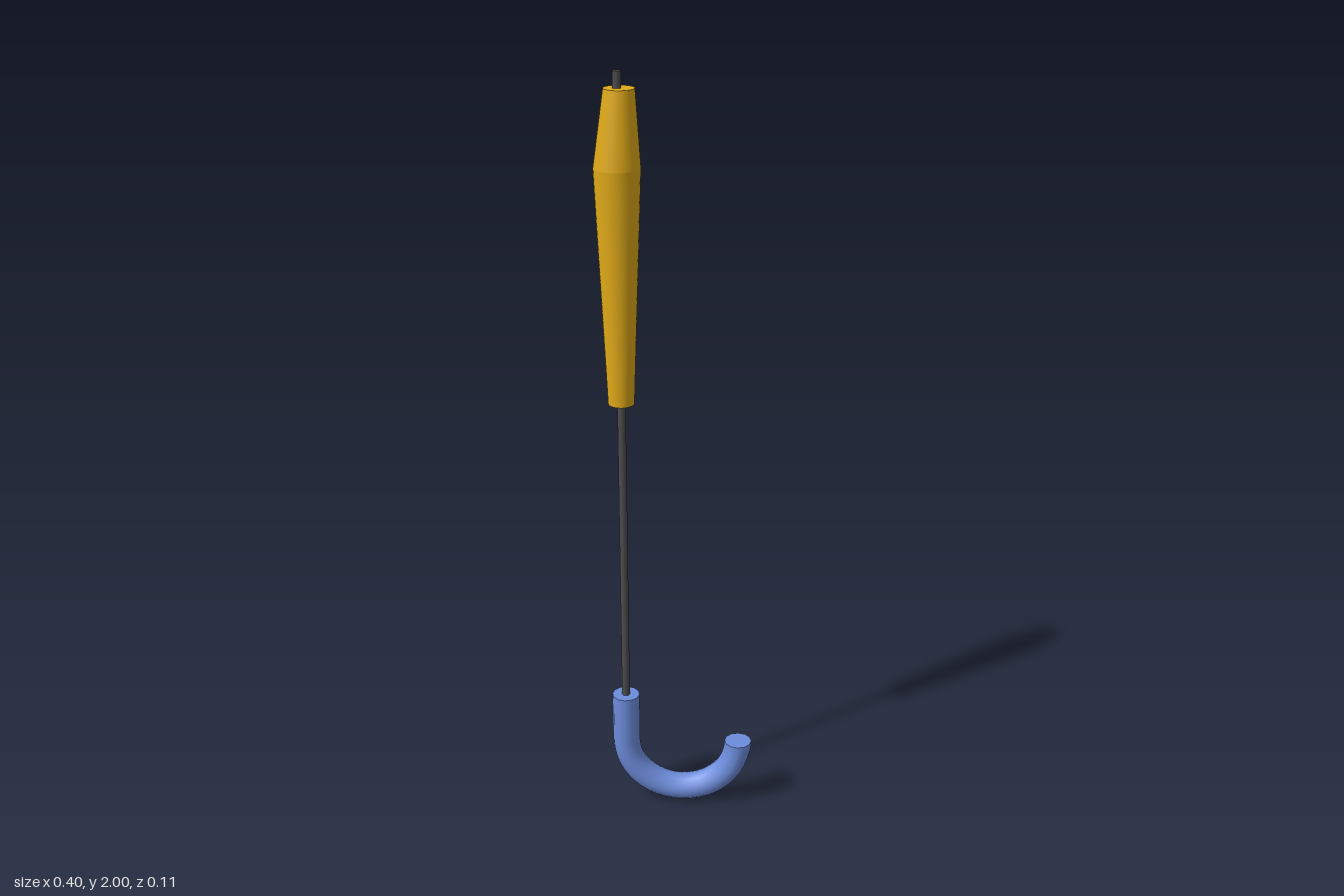
import * as THREE from 'three';

const mat = (color) => new THREE.MeshStandardMaterial({ color });

export function createModel() {
  const group = new THREE.Group();
  const gold = mat(0xe0aa18), blue = mat(0x6d8ddc), dark = mat(0x4c4c4c);
  const shaftX = -0.143, shaftZ = -0.004;

  const add = (name, geometry, material, parent = group) => {
    const mesh = new THREE.Mesh(geometry, material);
    mesh.name = name;
    parent.add(mesh);
    return mesh;
  };

  // Thin shaft running from the handle through to the tip
  add('shaft', new THREE.CylinderGeometry(0.0105, 0.0105, 1.7, 16), dark)
    .position.set(shaftX, 1.15, shaftZ);

  // Furled canopy: stacked tapered rings whose centres wander slightly
  const rings = [
    { x: -0.143, y: 1.18, z: -0.001, r: 0.033 },
    { x: -0.145, y: 1.775, z: 0, r: 0.057 },
    { x: -0.138, y: 1.96, z: -0.004, r: 0.0375 },
  ];
  const canopy = new THREE.Group();
  canopy.name = 'furledCanopy';
  group.add(canopy);
  for (let i = 0; i < 2; i++) {
    const a = rings[i], b = rings[i + 1];
    const h = b.y - a.y;
    const geo = new THREE.CylinderGeometry(b.r, a.r, h, 32, 1, true);
    const p = geo.attributes.position;
    for (let v = 0; v < p.count; v++) {
      const t = p.getY(v) / h + 0.5;
      p.setXYZ(v,
        p.getX(v) + a.x + (b.x - a.x) * t,
        a.y + h * t,
        p.getZ(v) + a.z + (b.z - a.z) * t);
    }
    add(i ? 'canopyTop' : 'canopyBody', geo, gold, canopy);
  }
  for (const [name, ring, turn] of [['canopyLowerEnd', rings[0], 1], ['canopyUpperEnd', rings[2], -1]]) {
    const end = add(name, new THREE.CircleGeometry(ring.r, 32), gold, canopy);
    end.rotation.x = turn * Math.PI / 2;
    end.position.set(ring.x, ring.y, ring.z);
  }

  // Crook handle: straight grip, half-ring hook and flat ends
  const handle = new THREE.Group();
  handle.name = 'crookHandle';
  handle.position.z = shaftZ;
  group.add(handle);
  const tube = 0.037, bend = 0.1535, hookY = bend + tube, gripTop = 0.33;
  add('grip', new THREE.CylinderGeometry(tube, tube, gripTop - hookY, 12, 1, true), blue, handle)
    .position.set(shaftX, (gripTop + hookY) / 2, 0);
  const hook = add('hook', new THREE.TorusGeometry(bend, tube, 12, 24, Math.PI), blue, handle);
  hook.rotation.z = Math.PI;
  hook.position.set(shaftX + bend, hookY, 0);
  for (const [name, x, y] of [['gripEnd', shaftX, gripTop], ['hookEnd', shaftX + 2 * bend, hookY]]) {
    const end = add(name, new THREE.CircleGeometry(tube, 12), blue, handle);
    end.rotation.x = -Math.PI / 2;
    end.position.set(x, y, 0);
  }

  return group;
}
